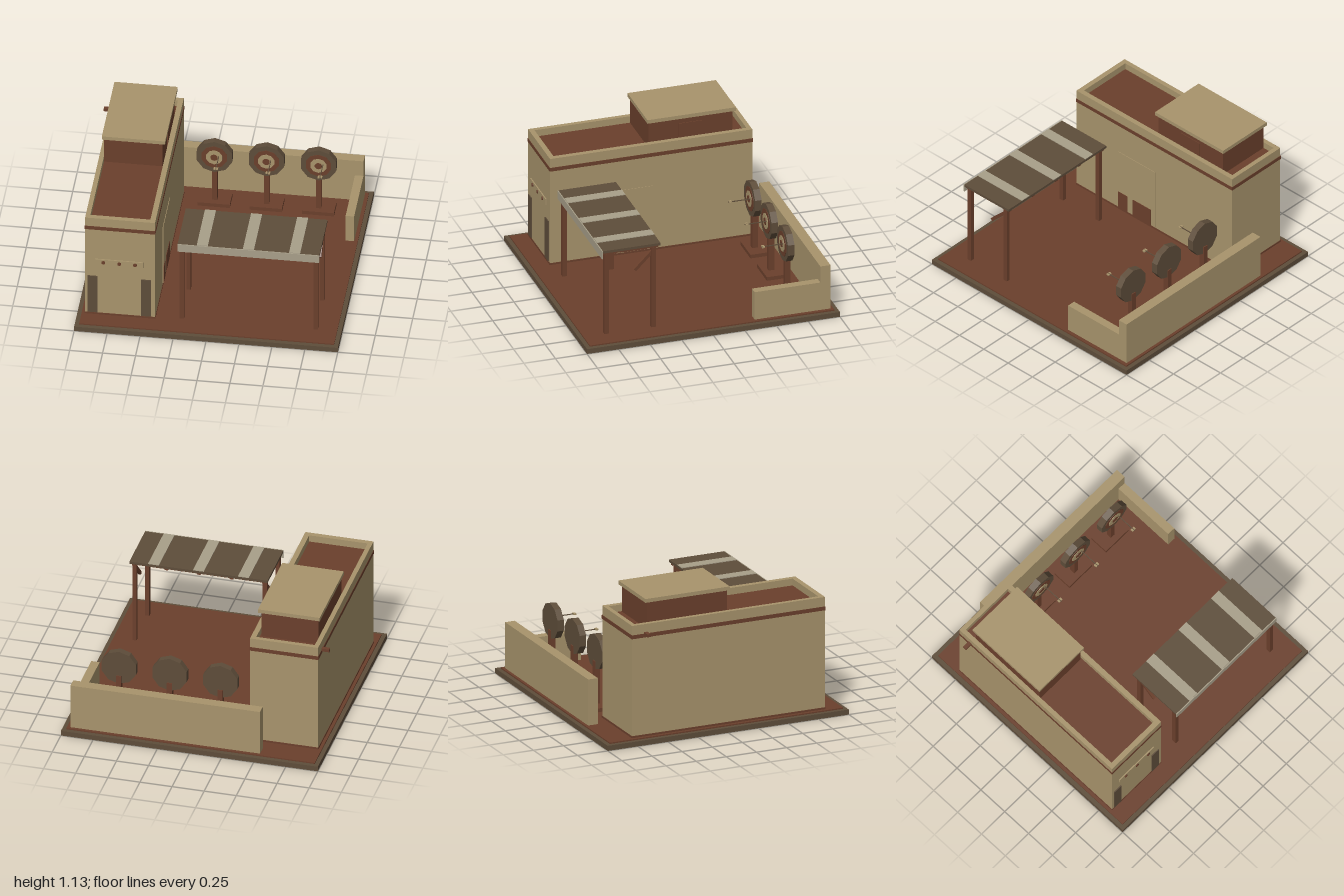
import * as THREE from 'three';

const mat = (name, color) => {
  const m = new THREE.MeshStandardMaterial({ color });
  m.name = name;
  return m;
};

export function createModel() {
  const sand = mat('sand plaster', 0xa8946c);
  const rust = mat('rust brown', 0x6b402c);
  const dark = mat('dark wood', 0x5e4d3a);
  const pale = mat('pale cloth', 0xa89f89);

  const root = new THREE.Group();
  root.name = 'trainingYard';
  const group = (name) => {
    const g = new THREE.Group();
    g.name = name;
    root.add(g);
    return g;
  };
  const add = (parent, name, geometry, material) => {
    const m = new THREE.Mesh(geometry, material);
    m.name = name;
    parent.add(m);
    return m;
  };
  // Box given by its extents on each axis
  const box = (parent, name, material, x0, x1, y0, y1, z0, z1) => {
    const m = add(parent, name, new THREE.BoxGeometry(x1 - x0, y1 - y0, z1 - z0), material);
    m.position.set((x0 + x1) / 2, (y0 + y1) / 2, (z0 + z1) / 2);
    return m;
  };

  // Ground
  const ground = group('ground');
  box(ground, 'baseSlab', dark, -1, 1, 0, 0.04, -1, 1);
  box(ground, 'yardFloor', rust, -0.967, 0.967, 0.04, 0.05, -0.967, 0.967);

  // Main building with a parapet around its flat roof
  const house = group('building');
  box(house, 'plinth', rust, -0.943, -0.407, 0.05, 0.065, -0.773, 0.833);
  box(house, 'walls', sand, -0.94, -0.41, 0.05, 0.88, -0.77, 0.83);
  box(house, 'roofFloor', rust, -0.905, -0.45, 0.88, 0.886, -0.735, 0.79);
  box(house, 'parapetRight', sand, -0.94, -0.905, 0.88, 0.94, -0.77, 0.83);
  box(house, 'parapetLeft', sand, -0.45, -0.41, 0.88, 0.94, -0.77, 0.83);
  box(house, 'parapetBack', sand, -0.905, -0.45, 0.88, 0.94, -0.77, -0.735);
  box(house, 'parapetFront', sand, -0.905, -0.45, 0.88, 0.94, 0.79, 0.83);
  box(house, 'paintedBand', rust, -0.943, -0.407, 0.835, 0.865, -0.773, 0.833);
  box(house, 'waterSpout', rust, -1, -0.93, 0.853, 0.877, -0.672, -0.642);

  // Front shutters and sign board with studs
  for (const x of [-0.8825, -0.4775]) {
    box(house, 'shutter', dark, x - 0.0375, x + 0.0375, 0.07, 0.405, 0.83, 0.838);
  }
  box(house, 'signBoard', sand, -0.865, -0.495, 0.515, 0.565, 0.83, 0.839);
  for (const x of [-0.8, -0.68, -0.56]) {
    const stud = add(house, 'signStud', new THREE.CylinderGeometry(0.015, 0.015, 0.008, 6), rust);
    stud.rotation.x = Math.PI / 2;
    stud.position.set(x, 0.54, 0.842);
  }

  // Side door panel with low insets
  box(house, 'sideDoorPanel', sand, -0.41, -0.406, 0.07, 0.59, 0.02, 0.4);
  for (const [z0, z1] of [[0.06, 0.245], [0.3, 0.395]]) {
    box(house, 'sideInset', rust, -0.41, -0.402, 0.07, 0.215, z0, z1);
  }

  // Rooftop hut
  const hut = group('rooftopHut');
  box(hut, 'hutWalls', rust, -0.905, -0.46, 0.88, 1.1, -0.63, 0.035);
  box(hut, 'hutRoof', sand, -0.92, -0.44, 1.1, 1.13, -0.65, 0.05);
  box(hut, 'hutDoor', rust, -0.46, -0.454, 0.886, 1.055, -0.395, -0.2);

  // Yard walls
  const walls = group('yardWalls');
  box(walls, 'backWall', sand, -0.535, 0.94, 0.05, 0.415, -0.945, -0.865);
  box(walls, 'sideWall', sand, 0.875, 0.94, 0.05, 0.28, -0.865, -0.345);

  // Canopy: posts, beams, rafters, striped roof and front valance
  const canopy = group('canopy');
  for (const x of [-0.21, 0.805]) {
    for (const z of [0.415, 0.785]) {
      box(canopy, 'post', rust, x - 0.016, x + 0.016, 0.05, 0.72, z - 0.018, z + 0.018);
    }
    const brace = add(canopy, 'brace', new THREE.BoxGeometry(0.022, 0.2, 0.025), rust);
    brace.position.set(x, 0.617, 0.49);
    brace.rotation.x = -Math.PI / 4;
  }
  for (const z of [0.415, 0.785]) {
    box(canopy, 'longBeam', rust, -0.225, 0.82, 0.712, 0.735, z - 0.015, z + 0.015);
  }
  for (let i = 0; i < 5; i++) {
    const x = -0.21 + i * 0.25375;
    box(canopy, 'rafter', rust, x - 0.014, x + 0.014, 0.718, 0.736, 0.375, 0.82);
  }
  box(canopy, 'awning', dark, -0.24, 0.835, 0.736, 0.756, 0.365, 0.82);
  for (const x of [-0.0525, 0.2975, 0.6475]) {
    box(canopy, 'awningStripe', pale, x - 0.042, x + 0.042, 0.756, 0.761, 0.365, 0.82);
  }
  box(canopy, 'valance', pale, -0.24, 0.835, 0.69, 0.756, 0.82, 0.828);

  // Round targets on stands, each with an arrow
  const rings = [
    ['targetBody', 0.14, -0.72, -0.668, dark],
    ['outerRing', 0.1, -0.669, -0.665, rust],
    ['innerRing', 0.064, -0.666, -0.661, sand],
    ['bullseye', 0.028, -0.662, -0.657, rust],
  ];
  for (const x of [-0.165, 0.23, 0.625]) {
    const target = group('target');
    target.position.x = x;
    box(target, 'standFoot', rust, -0.122, 0.122, 0.05, 0.08, -0.79, -0.635);
    box(target, 'standPost', rust, -0.02, 0.02, 0.08, 0.42, -0.727, -0.683);
    for (const [name, r, z0, z1, material] of rings) {
      const geometry = new THREE.CylinderGeometry(r, r, z1 - z0, 10).toNonIndexed();
      geometry.computeVertexNormals();
      geometry.rotateX(Math.PI / 2);
      add(target, name, geometry, material).position.set(0, 0.49, (z0 + z1) / 2);
    }
    box(target, 'arrowShaft', dark, 0.032, 0.038, 0.502, 0.508, -0.67, -0.488);
    for (const s of [-1, 1]) {
      box(target, 'arrowFletching', sand, 0.035 + s * 0.01 - 0.007, 0.035 + s * 0.01 + 0.007,
        0.5, 0.51, -0.515, -0.492);
    }
  }
  return root;
}
